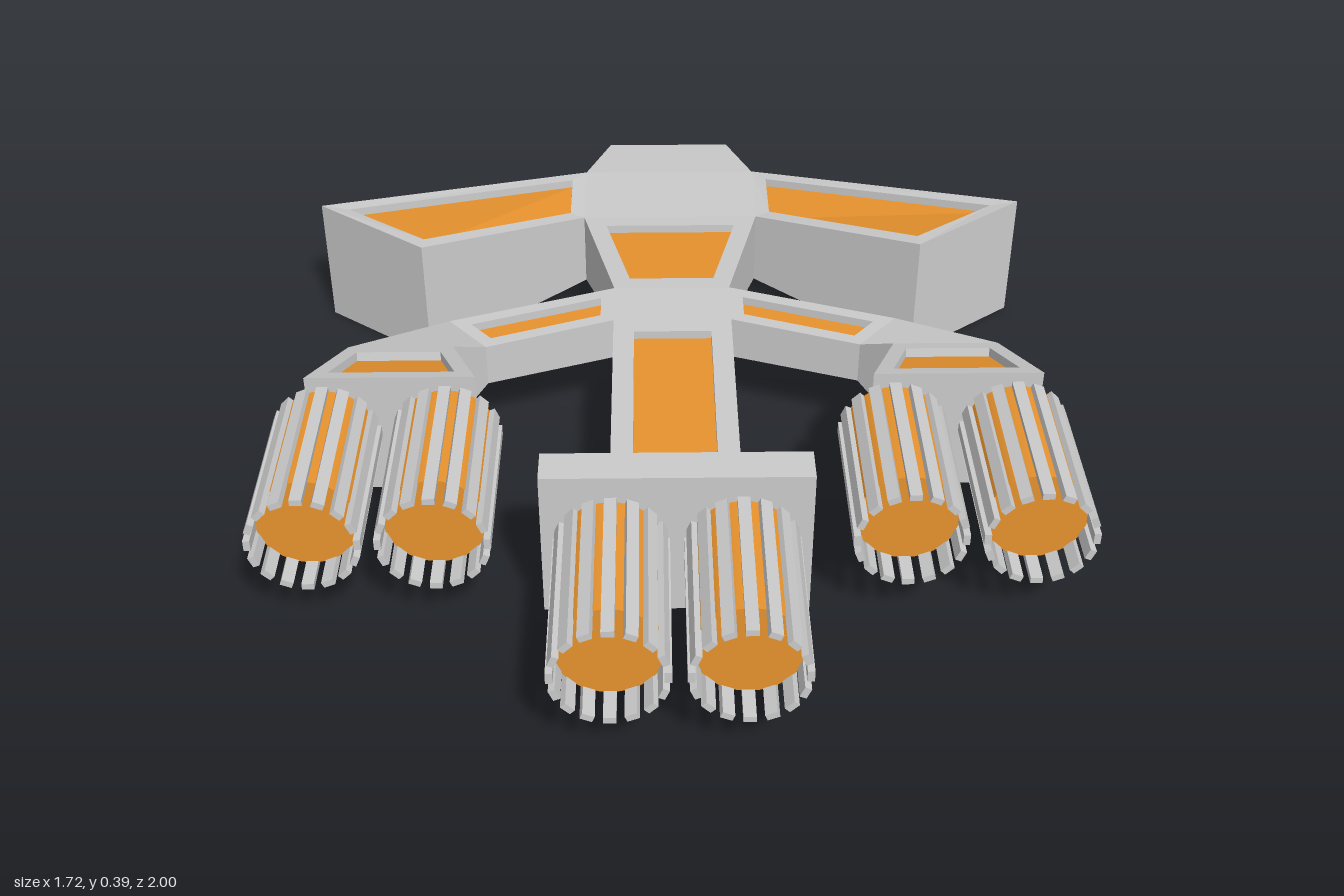
import * as THREE from 'three';

const grey = new THREE.MeshStandardMaterial({ color: 0xcccccc, flatShading: true });
const orange = new THREE.MeshStandardMaterial({ color: 0xe8932e, flatShading: true });
const orangeRound = new THREE.MeshStandardMaterial({ color: 0xe8932e });

// Half outline of the hull, nose to tail: x, z, top y, bottom y
const outline = [
  [0.155, -1, 0.235, 0.085], [0.215, -0.825, 0.25, 0.065],      // nose
  [0.86, -0.55, 0.315, 0], [0.595, -0.35, 0.315, 0],            // wing tip
  [0.215, -0.595, 0.25, 0.065], [0.135, -0.24, 0.268, 0.165],   // neck
  [0.51, -0.105, 0.268, 0.168], [0.715, 0.065, 0.315, 0.12],    // arm, outer edge
  [0.78, 0.25, 0.365, 0.07], [0.42, 0.25, 0.365, 0.07],         // arm end
  [0.485, 0.065, 0.315, 0.12], [0.42, 0, 0.268, 0.168],         // arm, inner edge
  [0.135, -0.105, 0.268, 0.165], [0.135, 0.445, 0.268, 0.165],  // spine
];
const LAST = outline.length * 2 - 1;
const mirrorIndex = (i) => LAST - i;
const flip = (pts) => pts.map((p) => new THREE.Vector3(-p.x, p.y, p.z)).reverse();
const loop = (yIndex) => {
  const half = outline.map((p) => new THREE.Vector3(p[0], p[yIndex], p[1]));
  return [...half, ...flip(half)];
};

// Adds a convex polygon to a triangle list
function face(list, pts) {
  for (let i = 1; i < pts.length - 1; i++) {
    for (const p of [pts[0], pts[i], pts[i + 1]]) list.push(p.x, p.y, p.z);
  }
}

function normalOf(pts) {
  const n = new THREE.Vector3();
  pts.forEach((p, i) => n.add(p.clone().cross(pts[(i + 1) % pts.length])));
  return n.normalize();
}

// Moves every edge of a polygon inwards by d
function inset(pts, d, n) {
  const inward = pts.map((p, i) =>
    n.clone().cross(pts[(i + 1) % pts.length].clone().sub(p)).normalize());
  return pts.map((p, i) => {
    const a = inward[(i + pts.length - 1) % pts.length], b = inward[i];
    return p.clone().addScaledVector(a.clone().add(b), d / (1 + a.dot(b)));
  });
}

// Grey rim and walls around a sunken coloured floor
function recess(hull, panels, pts, d, depth = 0.02, cells = [pts.map((_, i) => i)]) {
  const n = normalOf(pts);
  const inner = inset(pts, d, n);
  const floor = inner.map((p) => p.clone().addScaledVector(n, -depth));
  pts.forEach((p, i) => {
    const j = (i + 1) % pts.length;
    face(hull, [p, pts[j], inner[j], inner[i]]);
    face(hull, [inner[i], inner[j], floor[j], floor[i]]);
  });
  cells.forEach((c) => face(panels, c.map((i) => floor[i])));
}

function meshFrom(list, material, name) {
  const g = new THREE.BufferGeometry();
  g.setAttribute('position', new THREE.Float32BufferAttribute(list, 3));
  g.computeVertexNormals();
  const m = new THREE.Mesh(g, material);
  m.name = name;
  return m;
}

function addHull(group) {
  const hull = [], panels = [];
  const top = loop(2), bottom = loop(3);
  const m = mirrorIndex;

  // Cells across the middle and on one side, each with its panel border (0 = plain)
  const middle = [[0, 1, 0], [1, 4, 0], [4, 5, 0.045], [5, 12, 0], [12, 13, 0.047]]
    .map(([a, b, d]) => ({ ids: [m(a), a, b, m(b)], d }));
  const side = [
    { ids: [1, 2, 3, 4], d: 0.035 }, { ids: [5, 6, 11, 12], d: 0.03 },
    { ids: [6, 7, 10, 11], d: 0 }, { ids: [7, 8, 9, 10], d: 0.033 },
  ];
  const skin = (pts, d) => (d ? recess(hull, panels, pts, d) : face(hull, pts));

  // Upper skin
  const upper = (ids) => ids.map((i) => top[i]).reverse();
  middle.forEach(({ ids, d }) => skin(upper(ids), d));
  side.forEach(({ ids, d }) => {
    skin(upper(ids), d);
    skin(flip(upper(ids)), d);
  });

  // Side walls, with panels on the leading edges of wings and arms
  const wall = (i, j) => [bottom[i], top[i], top[j], bottom[j]];
  const wallPanels = { 1: 0.042, 5: 0.025, 6: 0.03 };
  for (let i = 0; i < outline.length - 1; i++) {
    skin(wall(i, i + 1), wallPanels[i]);
    skin(flip(wall(i, i + 1)), wallPanels[i]);
  }
  skin(wall(m(0), 0), 0.035);

  // Underside: one sunken floor following the whole outline
  const cells = [
    ...middle.map((c) => c.ids),
    ...side.map((c) => c.ids),
    ...side.map((c) => c.ids.map(m).reverse()),
  ];
  recess(hull, panels, bottom, 0.028, 0.025, cells);

  group.add(meshFrom(hull, grey, 'hull'), meshFrom(panels, orange, 'hullPanels'));
}

// Flared block at the end of the spine
function addEngineBlock(group) {
  const sections = [[0.135, 0.165, 0.268, 0.445], [0.27, 0.05, 0.39, 0.545], [0.27, 0.05, 0.39, 0.625]]
    .map(([x, y0, y1, z]) => [[-x, y0], [x, y0], [x, y1], [-x, y1]]
      .map(([px, py]) => new THREE.Vector3(px, py, z)));
  const list = [];
  for (let s = 0; s < 2; s++) {
    for (let i = 0; i < 4; i++) {
      const j = (i + 1) % 4;
      face(list, [sections[s][i], sections[s][j], sections[s + 1][j], sections[s + 1][i]]);
    }
  }
  face(list, sections[2]);
  face(list, [...sections[0]].reverse());
  group.add(meshFrom(list, grey, 'engineBlock'));
}

// Round core in a cage of long bars that reach past its end
function makeEngine(x, z) {
  const engine = new THREE.Group();
  engine.name = 'engine';
  const core = new THREE.Mesh(new THREE.CylinderGeometry(0.105, 0.105, 0.305, 32), orangeRound);
  core.name = 'engineCore';
  core.rotation.x = Math.PI / 2;
  core.position.z = 0.1525;
  engine.add(core);
  const barGeometry = new THREE.BoxGeometry(0.014, 0.025, 0.375);
  const count = 16;
  for (let i = 0; i < count; i++) {
    const a = (i / count) * Math.PI * 2;
    const bar = new THREE.Mesh(barGeometry, grey);
    bar.name = 'engineBar';
    bar.position.set(Math.cos(a) * 0.109, Math.sin(a) * 0.109, 0.1875);
    bar.rotation.z = a;
    engine.add(bar);
  }
  engine.position.set(x, 0.226, z);
  return engine;
}

export function createModel() {
  const group = new THREE.Group();
  group.name = 'spacecraft';
  addHull(group);
  addEngineBlock(group);
  for (const x of [-0.13, 0.13]) group.add(makeEngine(x, 0.625));
  for (const x of [-0.743, -0.485, 0.467, 0.727]) group.add(makeEngine(x, 0.25));
  return group;
}
